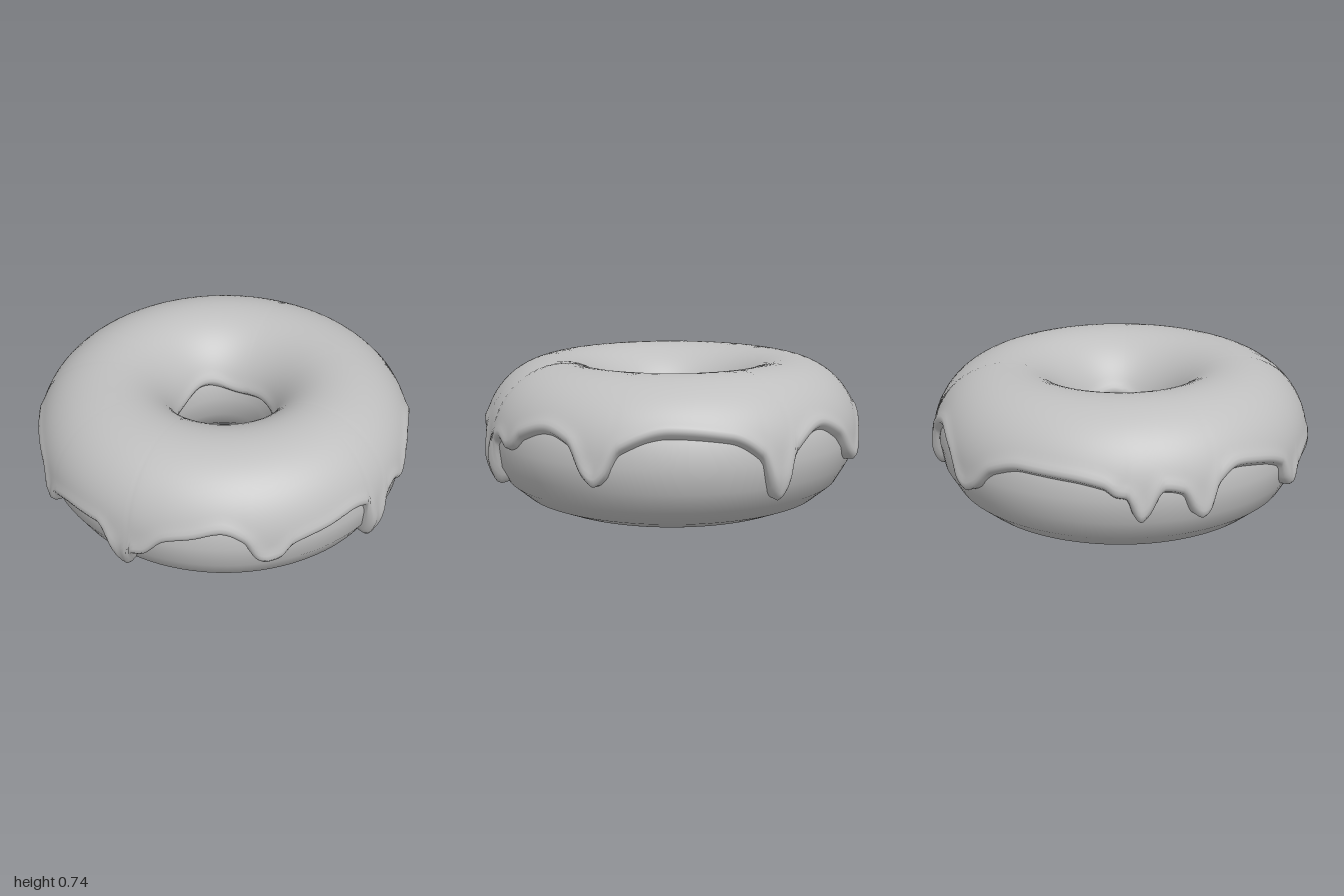
import * as THREE from 'three';

const RING = 0.605;   // radius of the ring's centre line
const TUBE = 0.35;    // radius of the dough tube
const MID = 0.35;     // height of the tube's centre
const COLUMNS = 480;
const ROWS = 36;

// Lower edge of the icing around the outside: [degrees from the front, height]
const EDGE = [
  [-76, 0.37], [-72.5, 0.26], [-70, 0.235], [-67.5, 0.26], [-64, 0.40], [-58, 0.45], [-50, 0.43], [-40, 0.37],
  [-37, 0.27], [-34, 0.23], [-31.5, 0.24], [-29, 0.31], [-20, 0.345], [-10, 0.35], [-7, 0.29], [-4.5, 0.13],
  [-2.3, 0.10], [0, 0.13], [2, 0.24], [6, 0.27], [12, 0.37], [20, 0.41], [28, 0.445], [34, 0.40], [37.5, 0.30],
  [40.5, 0.275], [45, 0.29], [49, 0.355], [60, 0.39], [69, 0.415], [74, 0.39], [76.5, 0.17], [79, 0.125],
  [81.5, 0.16], [84.5, 0.36], [88, 0.39], [93, 0.355], [96, 0.37], [100, 0.43], [110, 0.48], [118, 0.44],
  [123, 0.30], [127, 0.25], [130, 0.29], [134, 0.42], [148, 0.50], [165, 0.47], [174, 0.38], [177.5, 0.20],
  [180, 0.165], [182.5, 0.20], [186, 0.39], [197, 0.48], [206, 0.42], [213, 0.29], [217, 0.26], [221, 0.29],
  [228, 0.40], [238, 0.45], [252, 0.44], [262, 0.41], [265.5, 0.37], [268.5, 0.36], [270.5, 0.27], [272.5, 0.24],
  [275, 0.28], [279, 0.39],
];

const { smoothstep, clamp, degToRad } = THREE.MathUtils;

// Smooth periodic curve through EDGE without overshoot
function edgeHeight(degrees) {
  const n = EDGE.length;
  const at = (k) => {
    const turn = Math.floor(k / n);
    const [x, y] = EDGE[k - turn * n];
    return [x + 360 * turn, y];
  };
  const deg = degrees >= EDGE[0][0] + 360 ? degrees - 360 : degrees;
  let k = 0;
  while (at(k + 1)[0] <= deg) k++;
  const grade = (i) => (at(i + 1)[1] - at(i)[1]) / (at(i + 1)[0] - at(i)[0]);
  const slope = (i) => {
    const a = grade(i - 1), b = grade(i);
    return a * b <= 0 ? 0 : (2 * a * b) / (a + b);
  };
  const [x0, y0] = at(k), [x1, y1] = at(k + 1);
  const w = x1 - x0, t = (deg - x0) / w, t2 = t * t, t3 = t2 * t;
  return y0 * (2 * t3 - 3 * t2 + 1) + y1 * (3 * t2 - 2 * t3)
    + w * (slope(k) * (t3 - 2 * t2 + t) + slope(k + 1) * (t3 - t2));
}

// Ring of dough with an 18-sided section; the seam lies under the icing
function doughGeometry() {
  const profile = [];
  for (let i = 0; i <= 18; i++) {
    const a = degToRad(100 + i * 20);
    const y = MID + TUBE * Math.sin(a);
    profile.push(new THREE.Vector2(RING + TUBE * Math.cos(a), y < 0.01 ? 0 : y));
  }
  return new THREE.LatheGeometry(profile, 96);
}

// Icing: a sheet over the tube whose thickness rounds off towards its edges
function icingGeometry() {
  const step = (Math.PI * 2) / COLUMNS;
  const outer = [], inner = [];
  for (let i = 0; i < COLUMNS; i++) {
    const phi = i * step;
    outer.push(Math.asin((edgeHeight((i * 360) / COLUMNS) - MID) / 0.375));
    const y = 0.415 + 0.02 * Math.cos(3 * phi + 0.6) + 0.012 * Math.sin(5 * phi);
    inner.push(Math.PI - Math.asin((y - MID) / 0.365));
  }

  // Distance on the surface from a point to the outer edge line
  const edgeDistance = (i, theta) => {
    let best = 1;
    for (let k = -8; k <= 8; k++) {
      const a = outer[(i + k + COLUMNS) % COLUMNS];
      const b = outer[(i + k + 1 + COLUMNS) % COLUMNS];
      const ax = k * step * 0.95, ay = (a - theta) * 0.37;
      const dx = step * 0.95, dy = (b - a) * 0.37;
      const t = clamp(-(ax * dx + ay * dy) / (dx * dx + dy * dy), 0, 1);
      best = Math.min(best, Math.hypot(ax + t * dx, ay + t * dy));
    }
    return best;
  };

  const positions = [], indices = [];
  for (let i = 0; i < COLUMNS; i++) {
    const phi = i * step;
    for (let j = 0; j <= ROWS; j++) {
      const s = j / ROWS;
      const spread = 0.45 * s + 0.55 * (1 - Math.cos(Math.PI * s)) / 2;
      const theta = outer[i] + (inner[i] - outer[i]) * spread;
      const d = Math.max(0, Math.min(edgeDistance(i, theta), (inner[i] - theta) * 0.37));
      // thicker on top and in the hanging drips, thin inside the hole
      const full = 0.026 + 0.014 * Math.max(0, Math.sin(theta))
        - 0.012 * smoothstep(-Math.cos(theta), 0.2, 1) + 0.014 * (1 - smoothstep(theta, -0.25, 0.15));
      const round = Math.sqrt(1 - (1 - Math.min(d / 0.035, 1)) ** 2);
      const bead = 1 + 0.25 * Math.exp(-(((d - 0.035) / 0.03) ** 2));
      const rho = TUBE - 0.006 + (full + 0.006) * round * bead;
      const r = RING + rho * Math.cos(theta);
      positions.push(r * Math.sin(phi), MID + rho * Math.sin(theta), r * Math.cos(phi));
      if (j < ROWS) {
        const a = i * (ROWS + 1) + j;
        const b = ((i + 1) % COLUMNS) * (ROWS + 1) + j;
        indices.push(a, b, b + 1, a, b + 1, a + 1);
      }
    }
  }
  const geometry = new THREE.BufferGeometry();
  geometry.setAttribute('position', new THREE.Float32BufferAttribute(positions, 3));
  geometry.setIndex(indices);
  geometry.computeVertexNormals();
  return geometry;
}

export function createModel() {
  const grey = new THREE.MeshStandardMaterial({ color: 0xbfbfbf });
  grey.name = 'plain grey';

  const dough = new THREE.Mesh(doughGeometry(), grey);
  dough.name = 'dough';

  const icing = new THREE.Mesh(icingGeometry(), grey);
  icing.name = 'icing';

  const model = new THREE.Group();
  model.name = 'icedDoughnut';
  model.add(dough, icing);
  return model;
}
